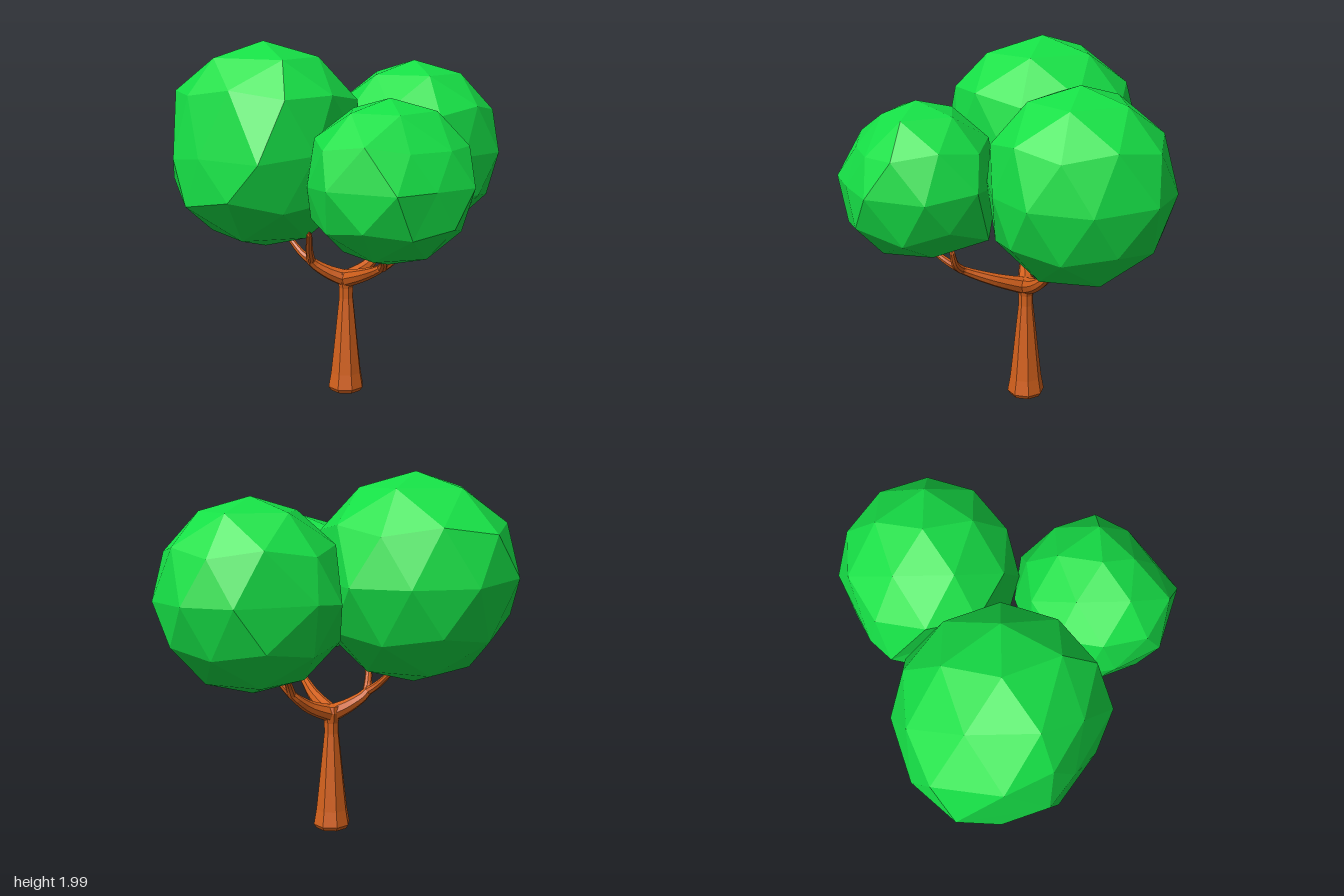
import * as THREE from 'three';

const leaf = new THREE.MeshStandardMaterial({ color: 0x16e046, flatShading: true });
const bark = new THREE.MeshStandardMaterial({ color: 0xd2601c, flatShading: true });

// Faceted ball with a corner at its top; each pull moves the nearest corner to a point
function crown({ name, center, radii, pulls }) {
  const geo = new THREE.IcosahedronGeometry(1, 1);
  geo.rotateZ(-Math.atan(2 / (1 + Math.sqrt(5))));
  geo.scale(...radii).translate(...center);
  const pos = geo.attributes.position;
  const corners = Array.from({ length: pos.count }, (_, i) => new THREE.Vector3().fromBufferAttribute(pos, i));
  for (const pull of pulls) {
    const target = new THREE.Vector3(...pull);
    const nearest = corners.reduce((a, b) => (b.distanceTo(target) < a.distanceTo(target) ? b : a));
    corners.forEach((c, i) => {
      if (c.distanceTo(nearest) < 1e-3) pos.setXYZ(i, ...pull);
    });
  }
  geo.computeVertexNormals();
  const mesh = new THREE.Mesh(geo, leaf);
  mesh.name = name;
  return mesh;
}

// Tapered limb along a curve, closed at its tip
function limb(name, points, r0, r1) {
  const curve = new THREE.CatmullRomCurve3(points.map((q) => new THREE.Vector3(...q)));
  const rows = 10, sides = 8;
  const geo = new THREE.TubeGeometry(curve, rows, 1, sides);
  const pos = geo.attributes.position;
  const p = new THREE.Vector3();
  for (let i = 0; i < pos.count; i++) {
    const row = Math.floor(i / (sides + 1));
    const t = Math.min(row / (rows - 1), 1);
    const c = curve.getPointAt(row / rows);
    const r = row === rows ? 0 : r0 + (r1 - r0) * t;
    p.fromBufferAttribute(pos, i).sub(c).multiplyScalar(r).add(c);
    pos.setXYZ(i, p.x, p.y, p.z);
  }
  geo.computeVertexNormals();
  const mesh = new THREE.Mesh(geo, bark);
  mesh.name = name;
  return mesh;
}

export function createModel() {
  const tree = new THREE.Group();
  tree.name = 'tree';

  // Leaf crowns
  const crowns = [
    { name: 'rightCrown', center: [-0.385, 1.43, -0.045], radii: [0.573, 0.57, 0.565],
      pulls: [[-0.93, 1.46, -0.28], [-0.85, 1.38, 0.18], [-0.69, 1.4, 0.31], [-0.35, 1.4, 0.52],
        [-0.52, 1.19, 0.44], [-0.9, 1.24, -0.06], [-0.76, 1.72, 0.19], [-0.52, 1.76, 0.34],
        [-0.25, 1.91, 0.24], [-0.22, 1.72, 0.42], [-0.81, 1.69, -0.39], [-0.07, 1.43, -0.54],
        [-0.07, 1.43, 0.37], [0.16, 1.43, 0.03], [0.09, 1.43, -0.27]] },
    { name: 'backCrown', center: [0.44, 1.37, -0.42], radii: [0.51, 0.51, 0.49],
      pulls: [[-0.045, 1.36, -0.62], [0.06, 1.37, -0.73], [0.08, 1.37, -0.24], [0.22, 1.37, -0.07],
        [0.42, 1.36, 0.06], [0.72, 1.37, -0.05], [0.71, 1.37, -0.85], [0.92, 1.36, -0.58]] },
    { name: 'frontCrown', center: [0.31, 1.315, 0.47], radii: [0.444, 0.425, 0.44],
      pulls: [[0.35, 1.32, 0.91], [0.54, 1.32, 0.78], [0.41, 1.5, 0.77], [0.61, 1.5, 0.64],
        [0.36, 1.67, 0.64], [0.73, 1.3, 0.29], [0.55, 1.33, 0.07], [0.68, 1.06, 0.43],
        [0.43, 1.05, 0.05], [0.62, 1.13, 0.2], [0.01, 1.32, 0.79], [-0.1, 1.3, 0.55],
        [-0.115, 1.28, 0.4]] },
  ];
  tree.add(...crowns.map(crown));

  // Eight-sided trunk, flared at the foot and at the fork
  const profile = [[0, 0.008], [0.09, 0.012], [0.105, 0.035], [0.09, 0.12], [0.072, 0.28],
    [0.054, 0.45], [0.042, 0.56], [0.042, 0.62], [0.056, 0.68], [0.048, 0.715], [0, 0.725]];
  const trunk = new THREE.Mesh(
    new THREE.LatheGeometry(profile.map(([r, y]) => new THREE.Vector2(r, y)), 8, Math.PI / 8), bark);
  trunk.position.set(0.068, 0, -0.06);
  trunk.name = 'trunk';
  tree.add(trunk);

  // Three branches, each splitting into two twigs
  const start = [0.068, 0.67, -0.06];
  const branches = [
    { name: 'right', mid: [-0.04, 0.72, -0.03], fork: [-0.125, 0.785, 0.0],
      tips: [[-0.12, 0.99, 0.17], [-0.27, 0.92, -0.08]], bends: [[-0.13, 0.86, 0.06], [-0.18, 0.825, -0.02]] },
    { name: 'back', mid: [0.18, 0.725, -0.145], fork: [0.265, 0.81, -0.225],
      tips: [[0.38, 0.94, -0.23], [0.28, 0.94, -0.34]], bends: [[0.31, 0.86, -0.23], [0.275, 0.87, -0.265]] },
    { name: 'front', mid: [0.18, 0.735, 0.09], fork: [0.275, 0.815, 0.25],
      tips: [[0.38, 0.96, 0.27], [0.28, 0.92, 0.42]], bends: [[0.33, 0.86, 0.265], [0.285, 0.855, 0.32]] },
  ];
  for (const { name, mid, fork, tips, bends } of branches) {
    const group = new THREE.Group();
    group.name = name + 'Branch';
    group.add(limb('bough', [start, mid, fork, bends[0]], 0.05, 0.02));
    tips.forEach((tip, i) => group.add(limb('twig', [fork, bends[i], tip], 0.025, 0.015)));
    tree.add(group);
  }
  return tree;
}
